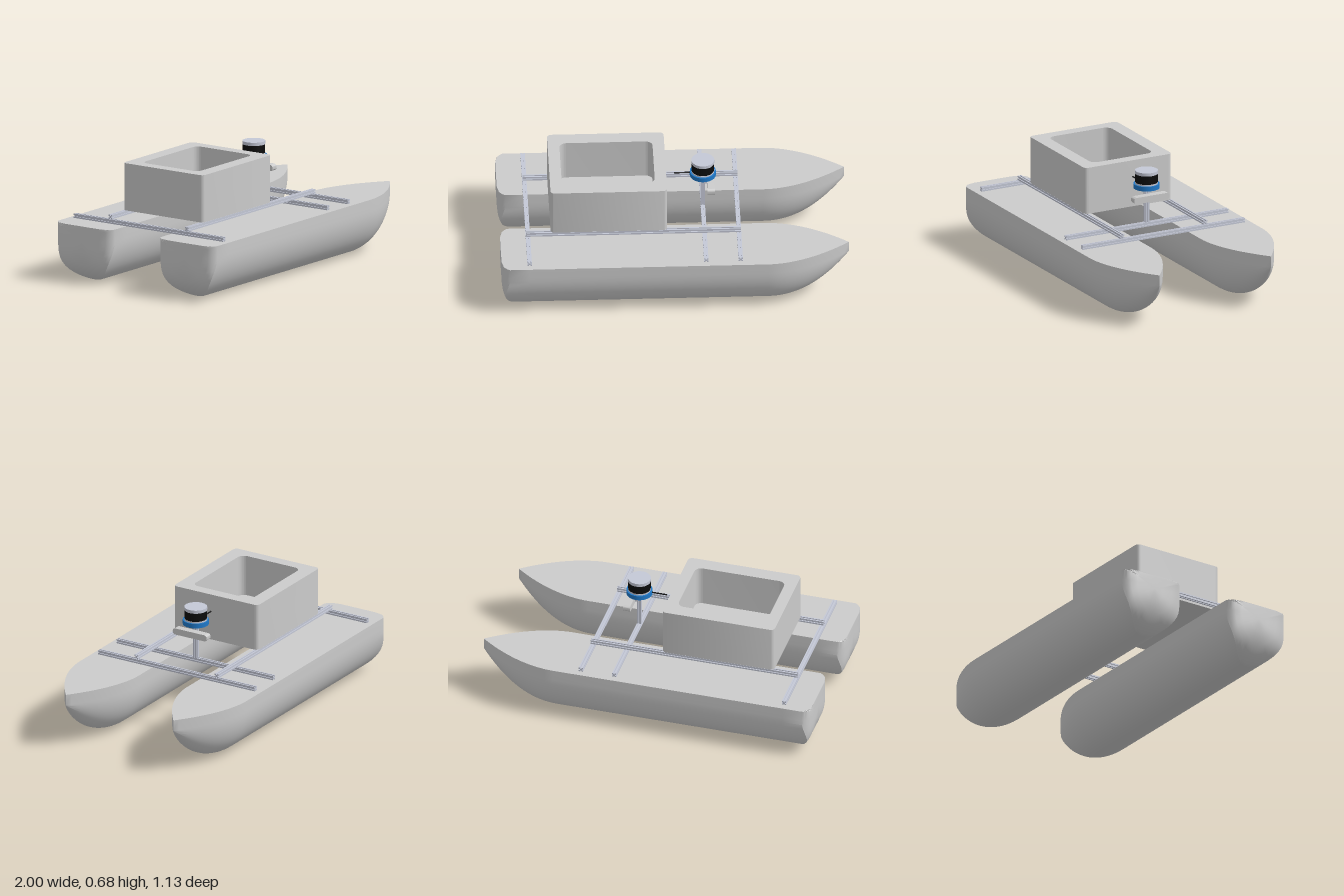
import * as THREE from 'three';
import { toCreasedNormals } from 'three/addons/utils/BufferGeometryUtils.js';

const mat = (color) => new THREE.MeshStandardMaterial({ color });
const grey = mat(0xcccccc), alloy = mat(0xc4c8d6), blue = mat(0x1f78c8), black = mat(0x0c0c0c);

const DECK = 0.335, CHINE = 0.27, HALF = 0.201;

function add(parent, name, geometry, material, x = 0, y = 0, z = 0) {
  const mesh = new THREE.Mesh(geometry, material);
  mesh.name = name;
  mesh.position.set(x, y, z);
  parent.add(mesh);
  return mesh;
}

// Closed hull section: elliptical belly, upright topsides, flat deck.
function hullSection(w, keel) {
  const pts = [[DECK, w], [CHINE, w]];
  const n = 28;
  for (let j = 1; j < n; j++) {
    const a = (j / n) * Math.PI;
    pts.push([CHINE - (CHINE - keel) * Math.sin(a), w * Math.cos(a)]);
  }
  pts.push([CHINE, -w], [DECK, -w]);
  for (const f of [-0.95, -0.85, -0.6, 0, 0.6, 0.85, 0.95]) pts.push([DECK, f * w]);
  return pts;
}

// Raked transom with rounded corners and a rounded foot.
function sternX(y, z) {
  const t = Math.max(0, 1 - y / CHINE);
  return -1 + 0.13 * t ** 4 + 0.045 * Math.abs(z / HALF) ** 8;
}

function hullGeometry() {
  const rings = [];
  const full = hullSection(HALF, 0);
  for (const s of [0, 0.3, 0.6, 0.8, 0.9, 0.96, 1]) {
    rings.push(full.map(([py, pz]) => {
      const y = 0.25 + (py - 0.25) * s, z = pz * s;
      return [sternX(y, z), y, z];
    }));
  }
  const station = (x, w, keel) => rings.push(hullSection(w, keel).map(([y, z]) => [x, y, z]));
  for (const x of [-0.84, -0.4, 0.1]) station(x, HALF, 0);
  const n = 18;
  for (let i = 0; i <= n; i++) {
    const u = i / n;
    station(0.53 + 0.47 * u, HALF * (1 - u ** 1.85), CHINE * u ** 2.2);
  }
  const m = full.length, index = [];
  for (let i = 0; i < rings.length - 1; i++) {
    for (let j = 0; j < m; j++) {
      const k = (j + 1) % m;
      const a = i * m + j, b = i * m + k, c = a + m, d = b + m;
      index.push(a, b, c, b, d, c);
    }
  }
  const geo = new THREE.BufferGeometry();
  geo.setAttribute('position', new THREE.Float32BufferAttribute(rings.flat(2), 3));
  geo.setIndex(index);
  return toCreasedNormals(geo, 0.6);
}

// Slotted aluminium profile, centred, running along z.
function slottedBeam(length, size = 0.025) {
  const h = size / 2, s = h * 0.3, d = h * 0.5;
  const shape = new THREE.Shape();
  const side = [[-h, h], [-s, h], [-s, h - d], [s, h - d], [s, h]];
  for (let q = 0; q < 4; q++) {
    for (const [px, py] of side) {
      const c = Math.round(Math.cos(q * Math.PI / 2)), n = Math.round(Math.sin(q * Math.PI / 2));
      const x = px * c + py * n, y = -px * n + py * c;
      if (q === 0 && px === -h) shape.moveTo(x, y); else shape.lineTo(x, y);
    }
  }
  shape.closePath();
  return new THREE.ExtrudeGeometry(shape, { depth: length, bevelEnabled: false }).translate(0, 0, -length / 2);
}

// Rounded rectangle outline, centred on the origin.
function roundedRect(Type, w, h, r) {
  const p = new Type();
  const x = w / 2 - r, y = h / 2 - r;
  p.absarc(x, y, r, 0, Math.PI / 2);
  p.absarc(-x, y, r, Math.PI / 2, Math.PI);
  p.absarc(-x, -y, r, Math.PI, Math.PI * 1.5);
  p.absarc(x, -y, r, Math.PI * 1.5, Math.PI * 2);
  p.closePath();
  return p;
}

function extrude(shape, depth) {
  const geo = new THREE.ExtrudeGeometry(shape, { depth, bevelEnabled: false, curveSegments: 10 });
  return toCreasedNormals(geo, 0.6);
}

export function createModel() {
  const model = new THREE.Group();
  model.name = 'catamaran';

  // Twin hulls
  const hull = hullGeometry();
  for (const z of [0.364, -0.364]) add(model, 'hull', hull, grey, 0, 0, z);

  // Beam frame
  const frame = new THREE.Group();
  frame.name = 'frame';
  model.add(frame);
  const crossBeam = slottedBeam(1.06);
  for (const x of [-0.84, 0.175, 0.373]) add(frame, 'crossBeam', crossBeam, alloy, x, 0.3495, 0);
  const longBeam = slottedBeam(1.235).rotateY(Math.PI / 2);
  for (const z of [0.272, -0.272]) add(frame, 'longBeam', longBeam, alloy, -0.2325, 0.3765, z);

  // Open equipment box
  const box = new THREE.Group();
  box.name = 'equipmentBox';
  box.position.set(-0.375, 0.39, 0);
  model.add(box);
  const walls = roundedRect(THREE.Shape, 0.67, 0.57, 0.025);
  walls.holes.push(roundedRect(THREE.Path, 0.535, 0.4, 0.04));
  add(box, 'boxWalls', extrude(walls, 0.278).rotateX(-Math.PI / 2), grey);
  const floor = roundedRect(THREE.Shape, 0.535, 0.4, 0.04);
  add(box, 'boxFloor', extrude(floor, 0.035).rotateX(-Math.PI / 2), grey);

  // Sensor mast with scanner stack
  const mast = new THREE.Group();
  mast.name = 'sensorMast';
  mast.position.set(0.175, 0, 0);
  model.add(mast);
  add(mast, 'mastPost', slottedBeam(0.21).rotateX(Math.PI / 2), alloy, 0, 0.466, 0);
  const disc = (name, r, y0, y1, material) =>
    add(mast, name, new THREE.CylinderGeometry(r, r, y1 - y0, 48), material, 0, (y0 + y1) / 2, 0);
  disc('scannerBase', 0.075, 0.57, 0.597, blue);
  disc('scannerCollar', 0.066, 0.597, 0.606, alloy);
  disc('scannerWindow', 0.065, 0.606, 0.657, black);
  disc('scannerCap', 0.066, 0.657, 0.676, alloy);
  const plug = new THREE.CylinderGeometry(0.004, 0.004, 0.1, 12).rotateZ(Math.PI / 2);
  add(mast, 'scannerCable', plug, black, -0.115, 0.588, 0);

  // Forward camera bar
  const bar = extrude(roundedRect(THREE.Shape, 0.23, 0.038, 0.0185), 0.042).rotateY(Math.PI / 2);
  add(mast, 'cameraBar', bar, grey, 0.024, 0.522, 0);
  add(mast, 'cameraMount', new THREE.BoxGeometry(0.016, 0.02, 0.02), alloy, 0.018, 0.522, 0);

  return model;
}
